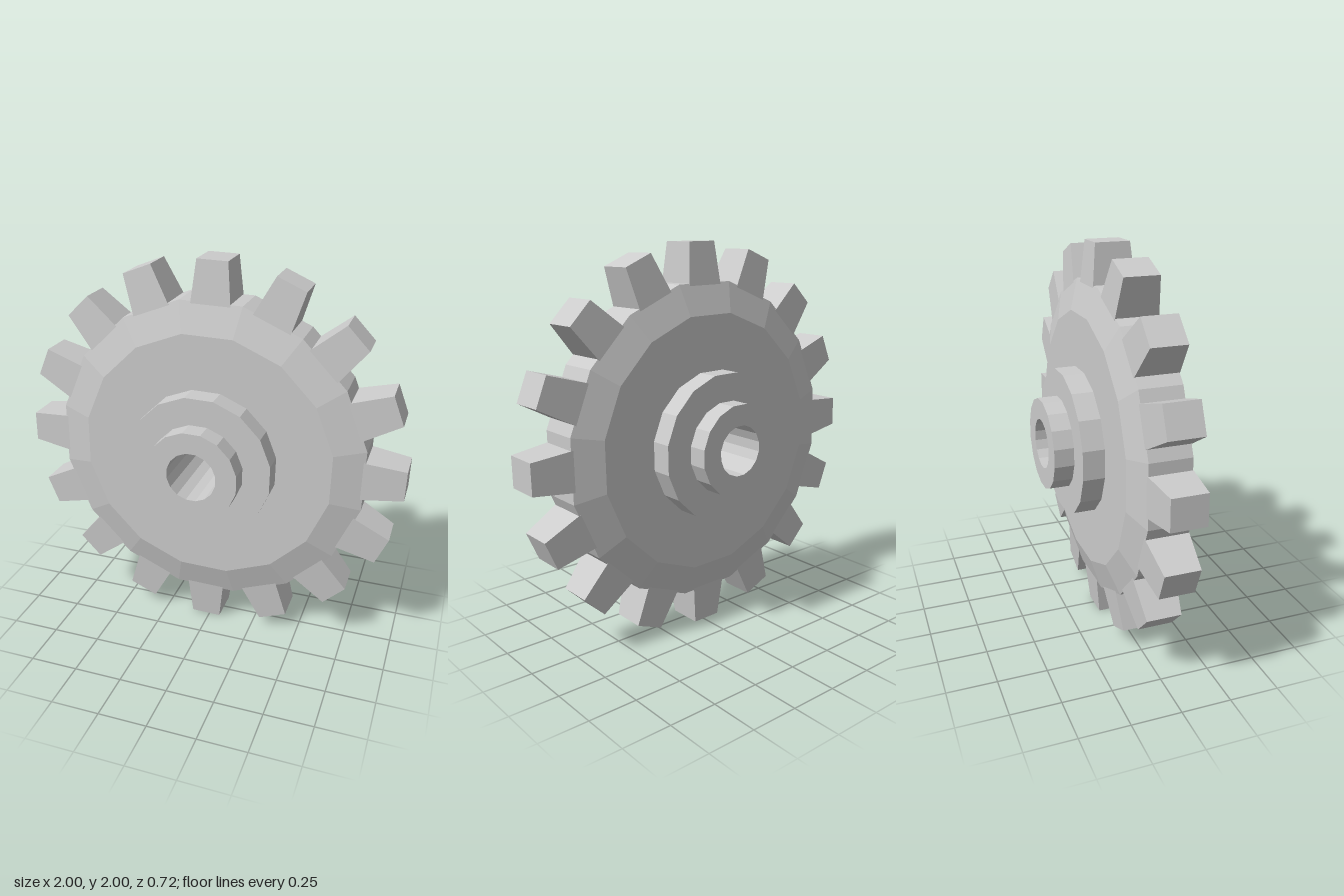
import * as THREE from 'three';

const TEETH = 16;
const STEP = (Math.PI * 2) / TEETH;
const TURN = THREE.MathUtils.degToRad(-1.1); // slight turn of the whole gear

const material = new THREE.MeshStandardMaterial({ color: 0xcccccc, flatShading: true });

// Faceted ring around the z axis, profile given as [radius, z]
function ring(name, profile) {
  const points = profile.map(([r, z]) => new THREE.Vector2(r, z));
  const geometry = new THREE.LatheGeometry(points, TEETH, STEP / 2);
  geometry.rotateX(Math.PI / 2);
  // lathe axis now runs along z; its seam lies midway between two teeth
  const mesh = new THREE.Mesh(geometry, material);
  mesh.name = name;
  return mesh;
}

// Block pointing along +y, tapering from root to tip in width and thickness
function toothGeometry() {
  const root = { r: 0.76, w: 0.103, d: 0.111 };
  const tip = { r: 0.9985, w: 0.078, d: 0.088 };
  const geometry = new THREE.BoxGeometry(2, 2, 2);
  const p = geometry.attributes.position;
  for (let i = 0; i < p.count; i++) {
    const end = p.getY(i) > 0 ? tip : root;
    p.setXYZ(i, p.getX(i) * end.w, end.r, p.getZ(i) * end.d);
  }
  geometry.computeVertexNormals();
  return geometry;
}

export function createModel() {
  const model = new THREE.Group();
  model.name = 'gear';
  const wheel = new THREE.Group();
  wheel.name = 'wheel';
  wheel.position.y = 1;
  wheel.rotation.z = TURN;
  model.add(wheel);

  // Disc with bevelled rim
  wheel.add(ring('disc', [
    [0.37, -0.15], [0.66, -0.15], [0.816, -0.105],
    [0.816, 0.105], [0.66, 0.15], [0.37, 0.15],
  ]));

  // Stepped hub on both faces with the bore through it
  wheel.add(ring('hub', [
    [0.128, -0.36], [0.235, -0.36], [0.235, -0.26], [0.376, -0.26],
    [0.376, 0.26], [0.235, 0.26], [0.235, 0.36], [0.128, 0.36], [0.128, -0.36],
  ]));

  // Teeth
  const teeth = new THREE.Group();
  teeth.name = 'teeth';
  const geometry = toothGeometry();
  for (let i = 0; i < TEETH; i++) {
    const tooth = new THREE.Mesh(geometry, material);
    tooth.name = 'tooth';
    tooth.rotation.z = i * STEP;
    teeth.add(tooth);
  }
  wheel.add(teeth);
  return model;
}
